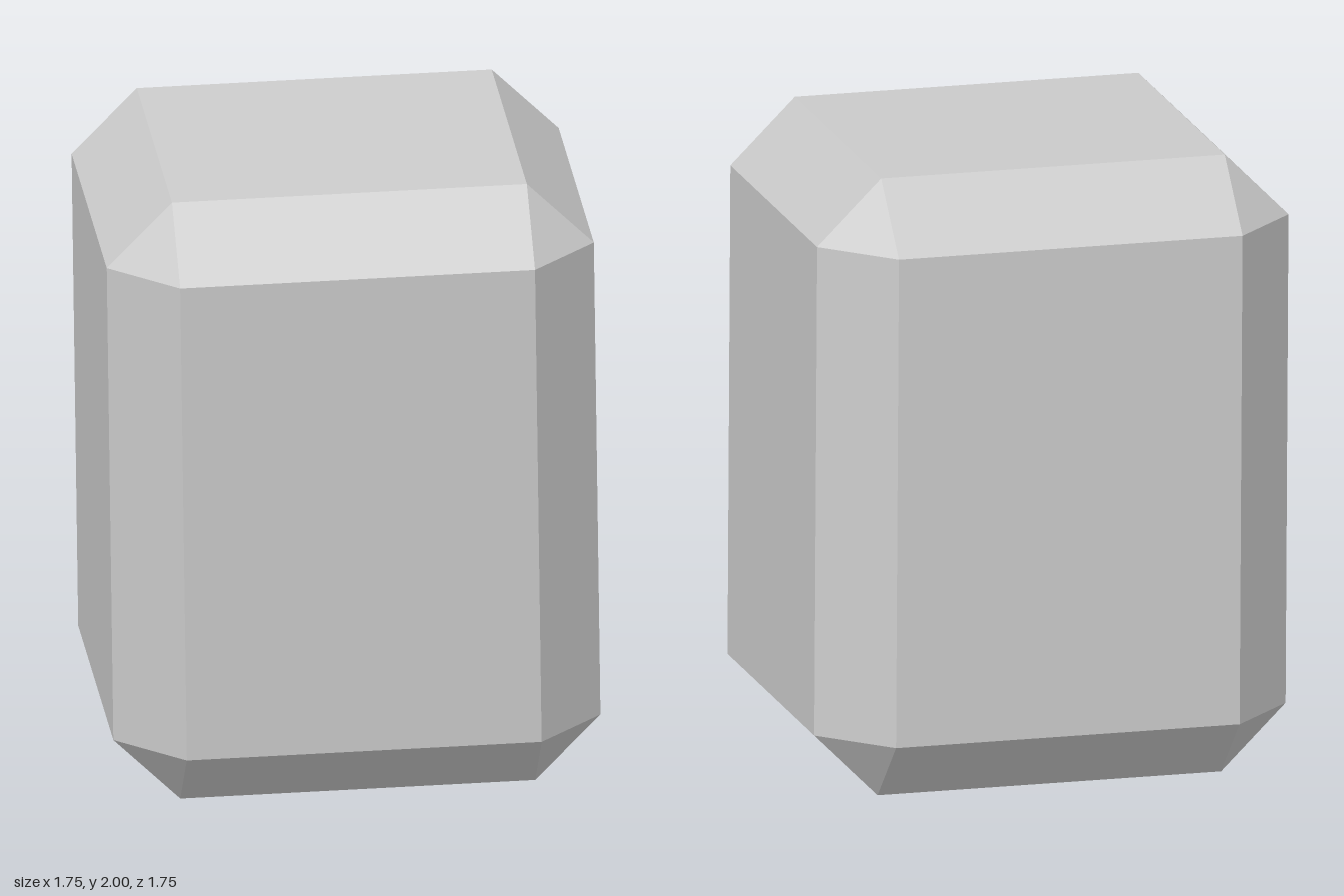
import * as THREE from 'three';
import { ConvexGeometry } from 'three/addons/geometries/ConvexGeometry.js';

// Box with every edge and corner cut flat by the same chamfer
function chamferedBox(width, height, depth, chamfer) {
  const outer = [width / 2, height / 2, depth / 2];
  const points = [];
  for (const sx of [-1, 1]) for (const sy of [-1, 1]) for (const sz of [-1, 1]) {
    // Three points per corner, one on each adjoining face
    for (let face = 0; face < 3; face++) {
      const [x, y, z] = outer.map((half, axis) => (axis === face ? half : half - chamfer));
      points.push(new THREE.Vector3(sx * x, sy * y, sz * z));
    }
  }
  return new ConvexGeometry(points);
}

export function createModel() {
  const model = new THREE.Group();
  model.name = 'chamferedBlock';

  // Block turned about its height and tipped slightly forward
  const block = new THREE.Mesh(
    chamferedBox(1.488, 1.942, 1.37, 0.202),
    new THREE.MeshStandardMaterial({ color: 0xcccccc, flatShading: true })
  );
  block.name = 'block';
  block.rotation.set(0.0455, 0.402, 0);
  block.position.y = 1;
  model.add(block);

  return model;
}
